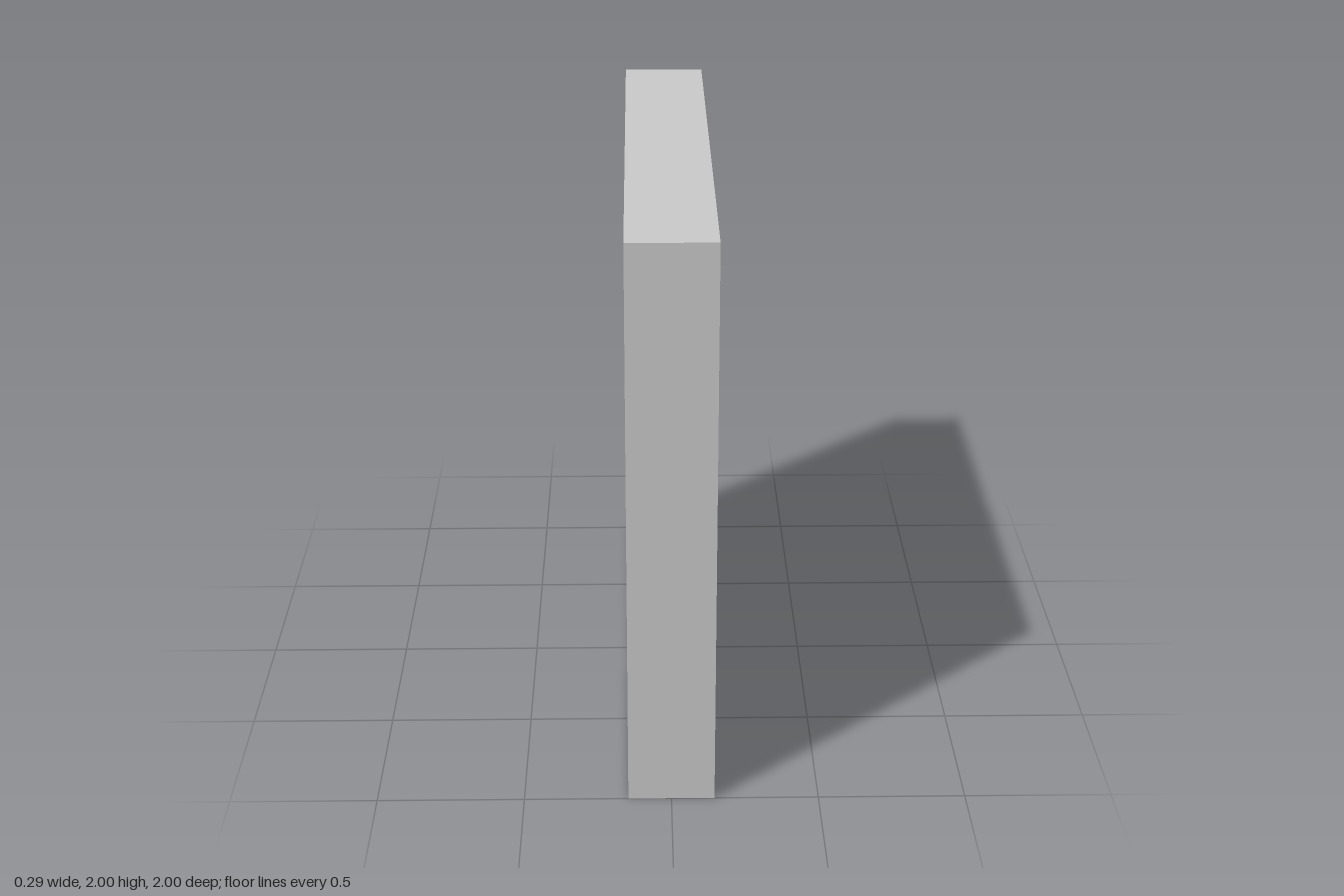
import * as THREE from 'three';

const SIZE = 2;            // outer height and width
const DEPTH = 0.293;       // frame thickness along x
const BORDER = 0.083;      // visible width of the frame rim
const PANEL_DEPTH = 0.146; // panel thickness, recessed equally on both sides

// Square outline centred on the origin
function square(PathType, half) {
  return new PathType([
    new THREE.Vector2(-half, -half),
    new THREE.Vector2(half, -half),
    new THREE.Vector2(half, half),
    new THREE.Vector2(-half, half),
  ]);
}

export function createModel() {
  const group = new THREE.Group();
  group.name = 'framedPanel';
  const material = new THREE.MeshStandardMaterial({ color: 0xcccccc, flatShading: true });
  const inner = SIZE / 2 - BORDER;

  // Square frame, open through the middle
  const outline = square(THREE.Shape, SIZE / 2);
  outline.holes.push(square(THREE.Path, inner));
  const frameGeometry = new THREE.ExtrudeGeometry(outline, { depth: DEPTH, bevelEnabled: false });
  frameGeometry.translate(0, 0, -DEPTH / 2).rotateY(Math.PI / 2);
  const frame = new THREE.Mesh(frameGeometry, material);
  frame.name = 'frame';

  // Flat panel set midway through the frame
  const panel = new THREE.Mesh(new THREE.BoxGeometry(PANEL_DEPTH, inner * 2, inner * 2), material);
  panel.name = 'panel';

  for (const part of [frame, panel]) {
    part.position.y = SIZE / 2;
    group.add(part);
  }
  return group;
}
